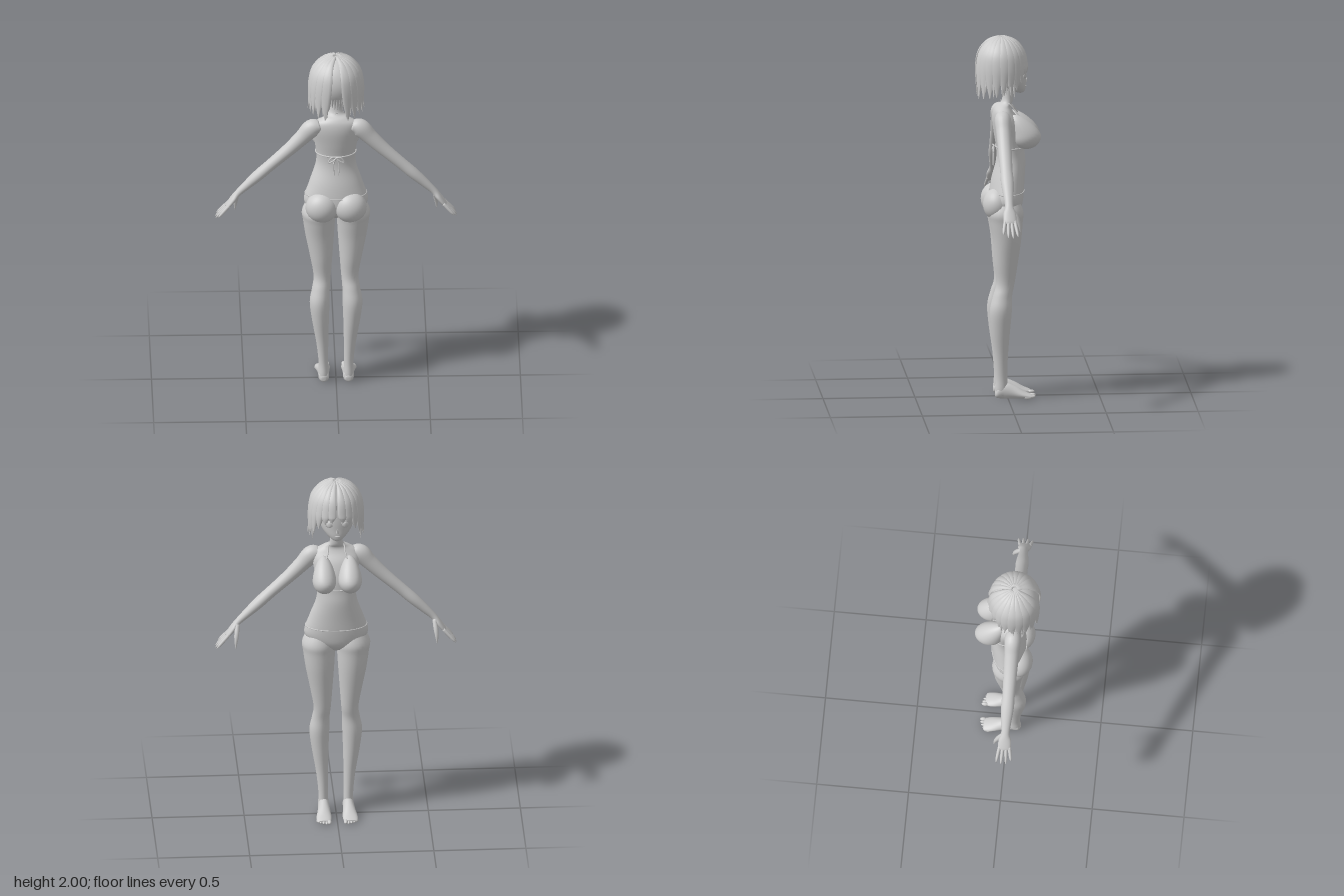
import * as THREE from 'three';

const V = (x, y, z) => new THREE.Vector3(x, y, z);
const X = V(1, 0, 0), Y = V(0, 1, 0), Z = V(0, 0, 1);
const grey = new THREE.MeshStandardMaterial({ color: 0xcccccc, side: THREE.DoubleSide });
grey.name = 'clayGrey';

// Smooth closed loft through sections [x, y, z, a, b]; a runs along ref, b across it
function loft(secs, ref, axis = null, seg = 24, steps = 5) {
  const path = new THREE.CatmullRomCurve3(secs.map(s => V(s[0], s[1], s[2])), false, 'catmullrom');
  const radii = new THREE.CatmullRomCurve3(secs.map(s => V(s[3], s[4], 0)), false, 'catmullrom');
  const n = (secs.length - 1) * steps, pos = [], idx = [];
  for (let i = 0; i <= n; i++) {
    const c = path.getPoint(i / n), r = radii.getPoint(i / n);
    const t = axis || path.getTangent(i / n);
    const side = typeof ref === 'function' ? ref(c) : ref;
    const v = t.clone().cross(side).normalize(), u = v.clone().cross(t).normalize();
    for (let j = 0; j < seg; j++) {
      const a = j / seg * Math.PI * 2;
      const p = c.clone().addScaledVector(u, r.x * Math.cos(a)).addScaledVector(v, r.y * Math.sin(a));
      pos.push(p.x, p.y, p.z);
      const k = (j + 1) % seg, o = i * seg;
      if (i < n) idx.push(o + j, o + k, o + seg + j, o + k, o + seg + k, o + seg + j);
    }
  }
  const first = pos.length / 3;
  for (const s of [secs[0], secs[secs.length - 1]]) pos.push(s[0], s[1], s[2]);
  for (let j = 0; j < seg; j++) {
    const k = (j + 1) % seg;
    idx.push(first, k, j, first + 1, n * seg + j, n * seg + k);
  }
  // Turn the faces outward
  let volume = 0;
  const at = i => V(pos[i * 3], pos[i * 3 + 1], pos[i * 3 + 2]);
  for (let i = 0; i < idx.length; i += 3) volume += at(idx[i]).dot(at(idx[i + 1]).cross(at(idx[i + 2])));
  if (volume < 0) idx.reverse();
  const g = new THREE.BufferGeometry();
  g.setAttribute('position', new THREE.Float32BufferAttribute(pos, 3));
  g.setIndex(idx);
  g.computeVertexNormals();
  return g;
}

function ball(x, y, z, rx, ry, rz) {
  return new THREE.SphereGeometry(1, 32, 20).scale(rx, ry, rz).translate(x, y, z);
}

function cord(points, r, closed = false) {
  const curve = new THREE.CatmullRomCurve3(points.map(p => V(...p)), closed);
  return new THREE.TubeGeometry(curve, 40, r, 6, closed);
}

function band(y, cz, rx, rz, r) {
  const pts = [];
  for (let i = 0; i < 16; i++) {
    const a = i / 16 * Math.PI * 2;
    pts.push([rx * Math.cos(a), y, cz + rz * Math.sin(a)]);
  }
  return cord(pts, r, true);
}

export function createModel() {
  const model = new THREE.Group();
  model.name = 'figure';
  const add = (name, g) => {
    const m = new THREE.Mesh(g, grey);
    m.name = name;
    model.add(m);
  };
  // Adds a part and its mirror image across x
  const pair = (name, g) => {
    add(name, g);
    const m = g.clone().scale(-1, 1, 1);
    m.setIndex(Array.from(g.index.array).reverse());
    m.computeVertexNormals();
    add(name + 'Mirrored', m);
  };

  // Torso and neck
  add('torso', loft([
    [0, 1.0, 0, .05, .04], [0, 1.04, .005, .13, .08], [0, 1.1, .005, .174, .093],
    [0, 1.2, -.005, .146, .09], [0, 1.3, -.02, .112, .08], [0, 1.37, -.018, .106, .076],
    [0, 1.45, -.01, .116, .08], [0, 1.53, .008, .127, .072], [0, 1.58, .023, .115, .053],
    [0, 1.61, .02, .07, .04], [0, 1.64, -.003, .036, .03], [0, 1.74, -.01, .034, .03]
  ], X, Y, 40));
  pair('buttock', ball(.078, 1.078, .06, .088, .088, .076));

  // Swimwear: cups, bands, neck strap and back bow
  const cup = ball(0, 0, 0, .064, .07, .08), cp = cup.attributes.position;
  for (let i = 0; i < cp.count; i++) {
    const t = Math.max(0, cp.getY(i) / .07);
    cp.setY(i, cp.getY(i) * (1 + .7 * t));
    cp.setZ(i, cp.getZ(i) + .06 * t * t);
  }
  cup.computeVertexNormals();
  pair('bikiniCup', cup.translate(.07, 1.45, -.1));
  add('chestBand', band(1.385, -.017, .11, .08, .004));
  add('hipBand', band(1.14, .002, .168, .095, .003));
  pair('neckStrap', cord([[.06, 1.55, -.068], [.047, 1.59, -.04], [.04, 1.625, -.008], [0, 1.637, .033]], .004));
  pair('bowLoop', cord([[0, 1.385, .07], [.025, 1.388, .075], [.042, 1.36, .075], [.028, 1.362, .077], [0, 1.383, .074]], .004));
  pair('bowTail', cord([[0, 1.385, .07], [.014, 1.35, .072], [.012, 1.28, .074]], .004));

  // Legs
  pair('leg', loft([
    [.085, 1.12, .01, .06, .06], [.093, 1.04, .012, .091, .094], [.092, .98, .01, .087, .089],
    [.088, .88, .006, .077, .077], [.08, .75, .01, .06, .063], [.075, .64, .014, .047, .05],
    [.082, .57, .03, .048, .052], [.089, .49, .04, .054, .06], [.085, .38, .041, .046, .052],
    [.075, .24, .037, .033, .037], [.069, .12, .034, .026, .031], [.068, .05, .036, .028, .033],
    [.068, .02, .036, .027, .032]
  ], X, Y));

  // Feet, flattened underneath
  const foot = loft([
    [.067, .03, .07, .012, .014], [.067, .03, .055, .028, .03], [.067, .04, .02, .03, .045],
    [.068, .033, -.03, .034, .036], [.071, .018, -.085, .041, .021], [.073, .011, -.12, .038, .013],
    [.073, .01, -.132, .03, .009]
  ], X);
  const fp = foot.attributes.position;
  for (let i = 0; i < fp.count; i++) fp.setY(i, Math.max(0, fp.getY(i)));
  foot.computeVertexNormals();
  pair('foot', foot);
  for (let i = 0; i < 5; i++) {
    const r = i ? .0075 : .011;
    pair('toe' + (i + 1), ball(.044 + i * .0155, r, -.135 + i * i * .0018, r, r, .019));
  }

  // Arms and hands
  pair('arm', loft([
    [.085, 1.565, .03, .035, .03], [.13, 1.55, .032, .045, .05], [.18, 1.497, .032, .041, .043],
    [.24, 1.435, .032, .038, .037], [.3, 1.378, .032, .036, .033], [.36, 1.322, .032, .034, .031],
    [.42, 1.265, .031, .035, .03], [.48, 1.207, .03, .028, .024], [.53, 1.157, .03, .023, .018],
    [.556, 1.122, .03, .034, .017], [.584, 1.085, .03, .035, .013], [.595, 1.072, .03, .028, .008]
  ], Z));
  [.92, 1, .97, .78].forEach((len, i) => {
    const o = i - 1.5, p = (t, r) =>
      [.582 + .072 * t * len, 1.088 - .08 * t * len, .03 + o * (.0175 + .009 * t), r, r];
    pair('finger' + (i + 1), loft([p(0, .009), p(.4, .009), p(.8, .007), p(1, .002)], Z, null, 10, 4));
  });
  pair('thumb', loft([
    [.535, 1.145, .015, .012, .012], [.541, 1.1, -.01, .013, .012],
    [.545, 1.06, -.024, .009, .009], [.547, 1.02, -.03, .002, .002]
  ], X, null, 10, 4));

  // Head and face
  add('head', loft([
    [0, 1.678, -.073, .01, .01], [0, 1.69, -.062, .032, .035], [0, 1.715, -.043, .06, .06],
    [0, 1.75, -.024, .085, .08], [0, 1.8, -.008, .1, .098], [0, 1.86, .003, .108, .105],
    [0, 1.92, .015, .1, .1], [0, 1.96, .018, .07, .07], [0, 1.978, .02, .02, .02]
  ], X, Y, 32));
  add('nose', new THREE.ConeGeometry(.009, .028, 12).scale(1, 1, 1.2).rotateX(-.45).translate(0, 1.752, -.106));
  add('mouth', ball(0, 1.716, -.102, .016, .003, .004));
  pair('eye', ball(0, 0, 0, .023, .019, .006).rotateY(-.3).translate(.045, 1.785, -.094));
  pair('iris', ball(0, 0, 0, .012, .016, .004).rotateY(-.3).translate(.044, 1.784, -.099));
  pair('eyelid', cord([[.02, 1.795, -.105], [.04, 1.807, -.102], [.07, 1.795, -.086]], .003));
  pair('ear', ball(.103, 1.775, .01, .012, .028, .017));

  // Hair: a cap under overlapping locks that fall from the crown
  const mid = V(0, 1.84, .03);
  const radial = c => V(c.x, (c.y - mid.y) * .8, c.z - mid.z).normalize();
  add('hairCap', new THREE.SphereGeometry(1, 40, 20, 0, Math.PI * 2, 0, 1.7)
    .scale(.136, .146, .132).rotateX(.3).translate(mid.x, mid.y, mid.z));
  function lock(deg, tip, width, size = 1, flare = 1.05) {
    const a = deg * Math.PI / 180, dx = Math.sin(a) * .14 * size, dz = -Math.cos(a) * .134 * size;
    const w = [.25, .6, .95, 1, .7, .06], secs = [];
    for (let i = 0; i < 4; i++) {
      const f = (6 + i * 28) * Math.PI / 180;
      secs.push([dx * Math.sin(f), mid.y + .146 * size * Math.cos(f), mid.z + dz * Math.sin(f), .011, width * w[i]]);
    }
    secs.push([dx * 1.02, (1.84 + tip) / 2, mid.z + dz * 1.02, .01, width * w[4]]);
    secs.push([dx * flare, tip, mid.z + dz * flare, .001, width * w[5]]);
    return loft(secs, radial, null, 10, 4);
  }
  [[12, 1.8, .026], [27, 1.785, .027], [43, 1.75, .028], [58, 1.715, .03], [73, 1.7, .032],
    [89, 1.69, .033], [105, 1.68, .034], [121, 1.67, .035], [138, 1.665, .036], [155, 1.66, .036]
  ].forEach(([deg, tip, width], i) => pair('hairLock' + (i + 1), lock(deg, tip, width)));

  // Jagged ends between the large locks
  for (let i = 0; i < 11; i++) {
    pair('hairSpike' + (i + 1), lock(64 + i * 9.5, 1.672 + (i * 7 % 5) * .007, .015, .985, 1.07 + (i % 2) * .04));
  }
  // Fine strands over the nape
  for (let i = 0; i < 5; i++) {
    const x = .007 + i * .014;
    pair('napeStrand' + (i + 1), loft([
      [x * .5, 1.89, .11, .004, .007], [x * .9, 1.8, .108, .005, .009],
      [x, 1.73, .085, .004, .006], [x * 1.05, 1.68 + (i % 2) * .012, .07, .001, .001]
    ], Z, null, 8, 4));
  }
  return model;
}
